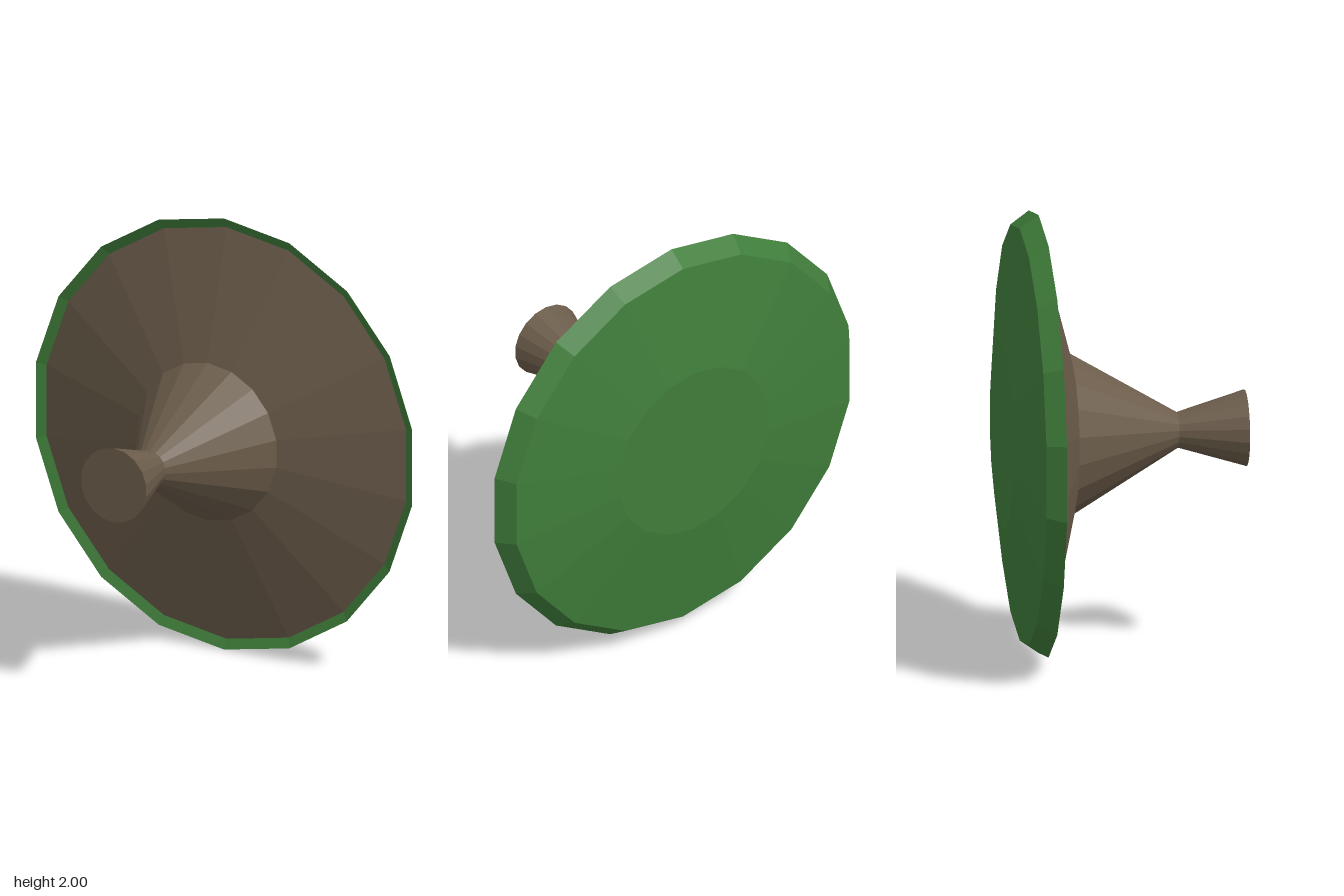
import * as THREE from 'three';

const SIDES = 18;

// Faceted solid of revolution about the z axis; profile points are [radius, z], back to front
function turned(name, profile, material) {
  const points = profile.map(([r, z]) => new THREE.Vector2(r, z));
  const geometry = new THREE.LatheGeometry(points, SIDES);
  geometry.rotateX(Math.PI / 2);
  const mesh = new THREE.Mesh(geometry, material);
  mesh.name = name;
  mesh.position.y = 1;
  return mesh;
}

export function createModel() {
  const green = new THREE.MeshStandardMaterial({ color: 0x3f7d3a, flatShading: true });
  green.name = 'leaf green';
  const brown = new THREE.MeshStandardMaterial({ color: 0x6b5c4a, flatShading: true });
  brown.name = 'bark brown';

  const model = new THREE.Group();
  model.name = 'discOnStem';

  // Shallow domed back with a bevelled rim that folds inward at the front
  model.add(turned('greenCap', [
    [0, -0.545], [0.42, -0.545], [0.94, -0.465], [1, -0.38], [0.955, -0.4],
  ], green));

  // Wide underside cone
  model.add(turned('underside', [[0.955, -0.4], [0.365, -0.243]], brown));

  // Stem narrowing to a neck, then flaring to a flat foot
  model.add(turned('stem', [
    [0.365, -0.243], [0.08, 0.24], [0.172, 0.545], [0, 0.545],
  ], brown));

  return model;
}
